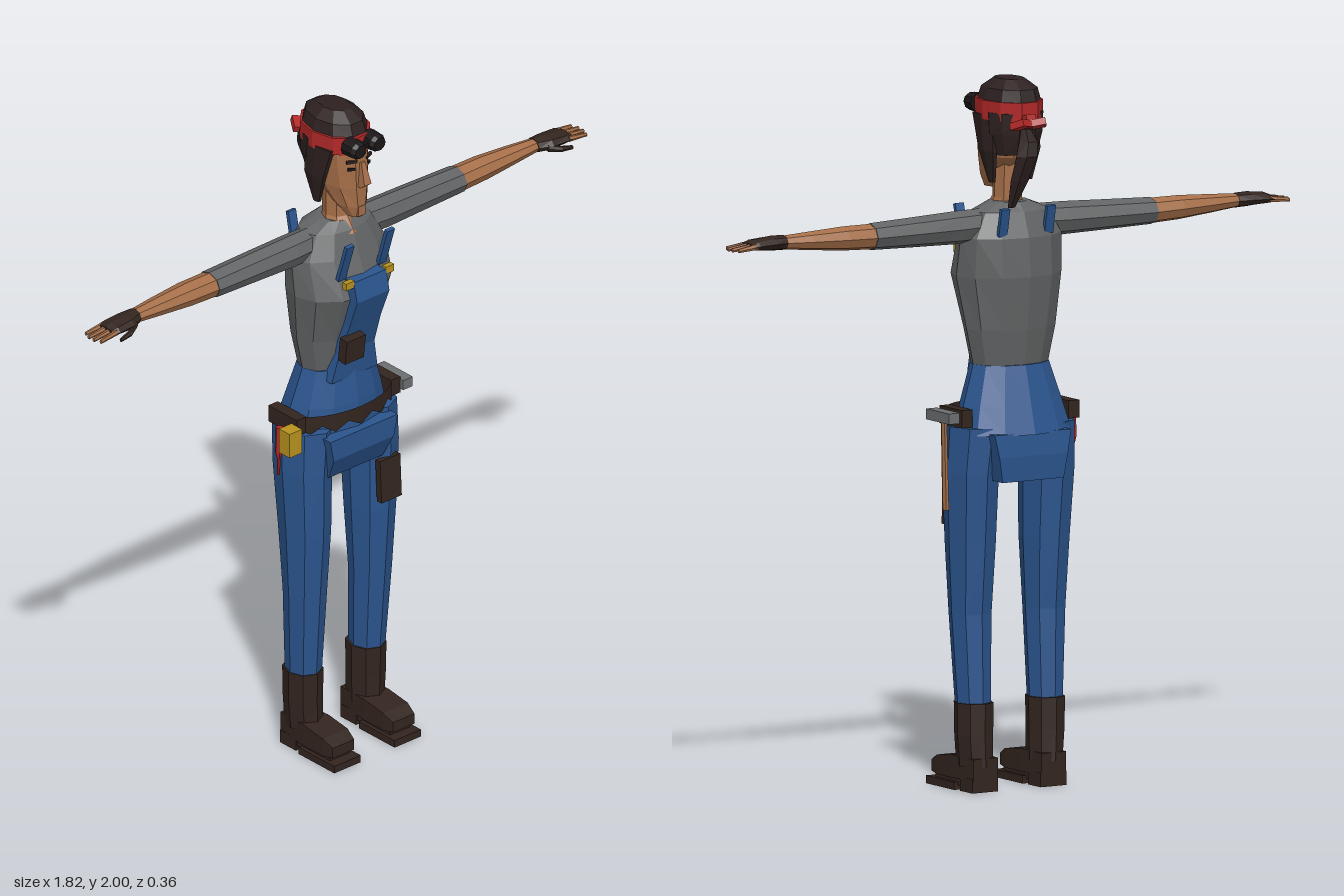
import * as THREE from 'three';

const mat = (name, color, extra = {}) =>
  Object.assign(new THREE.MeshStandardMaterial({ color, ...extra }), { name });

// Lofts n-sided rings [t, centreU, centreV, radiusU, radiusV] along an axis, closed and flat-faced.
// Axis y: u=x, v=z.  Axis x: u=z, v=y.  Axis z: u=x, v=y.
function loft(axis, rings, n = 8) {
  const k = n === 4 ? Math.SQRT2 : 1, off = n === 4 ? Math.PI / 4 : 0;
  const place = (t, u, v) => axis === 'y' ? [u, t, v] : axis === 'x' ? [t, v, u] : [u, v, t];
  const P = rings.map(([t, cu, cv, ru, rv]) => Array.from({ length: n }, (_, i) => {
    const a = off + (i / n) * Math.PI * 2;
    return place(t, cu + Math.cos(a) * ru * k, cv + Math.sin(a) * rv * k);
  }));
  let tris = [];
  for (let r = 0; r < P.length - 1; r++)
    for (let i = 0; i < n; i++) {
      const j = (i + 1) % n, a = P[r][i], b = P[r][j], c = P[r + 1][j], d = P[r + 1][i];
      tris.push([a, b, c], [a, c, d]);
    }
  const end = P[P.length - 1];
  for (let i = 1; i < n - 1; i++) tris.push([P[0][0], P[0][i + 1], P[0][i]], [end[0], end[i], end[i + 1]]);
  // Make all faces point outwards
  const vol = tris.reduce((s, [a, b, c]) => s + a[0] * (b[1] * c[2] - b[2] * c[1])
    + a[1] * (b[2] * c[0] - b[0] * c[2]) + a[2] * (b[0] * c[1] - b[1] * c[0]), 0);
  if (vol < 0) tris = tris.map(([a, b, c]) => [a, c, b]);
  const g = new THREE.BufferGeometry();
  g.setAttribute('position', new THREE.Float32BufferAttribute(tris.flat(2), 3));
  g.computeVertexNormals();
  return g;
}

export function createModel() {
  const model = new THREE.Group();
  model.name = 'mechanic';
  const denim = mat('denim', 0x2b558e), shirt = mat('shirt grey', 0x626465),
    leather = mat('dark leather', 0x33251f, { side: THREE.DoubleSide }), hair = mat('hair', 0x2d2120),
    skin = mat('skin', 0xa66f49), red = mat('red', 0xb32828), yellow = mat('yellow', 0xb8921f),
    steel = mat('steel', 0x6c6e70), wood = mat('wood', 0x9c6844), black = mat('goggle black', 0x1b1617);

  const add = (name, geo, m, pos = [0, 0, 0], rot = [0, 0, 0]) => {
    const mesh = new THREE.Mesh(geo, m);
    mesh.name = name;
    mesh.position.set(...pos);
    mesh.rotation.set(...rot);
    model.add(mesh);
    return mesh;
  };
  const box = (name, size, m, pos, rot) => add(name, new THREE.BoxGeometry(...size), m, pos, rot);

  // Torso and overalls
  add('shirtBody', loft('y', [[1.17, 0, 0, 0.112, 0.075], [1.3, 0, 0, 0.14, 0.095], [1.45, 0, 0.018, 0.163, 0.13],
    [1.56, 0, 0, 0.16, 0.104], [1.63, 0, 0, 0.118, 0.078], [1.655, 0, 0.005, 0.055, 0.055]], 12), shirt);
  add('hips', loft('y', [[1.01, 0, -0.018, 0.178, 0.12], [1.09, 0, -0.008, 0.155, 0.108],
    [1.2, 0, 0, 0.119, 0.086]], 12), denim);
  add('bib', loft('y', [[1.17, 0, 0.04, 0.085, 0.045], [1.26, 0, 0.05, 0.065, 0.045], [1.36, 0, 0.07, 0.058, 0.06],
    [1.45, 0, 0.08, 0.06, 0.084], [1.51, 0, 0.08, 0.06, 0.07]], 4), denim);
  add('seat', loft('y', [[1.015, 0, 0, 0.125, 0.125], [0.95, 0, -0.003, 0.112, 0.127],
    [0.88, 0, -0.018, 0.1, 0.108]], 4), denim);
  box('bibPouch', [0.07, 0.075, 0.03], leather, [-0.045, 1.29, 0.125], [0.12, 0, 0]);

  // Belt wrapped round the front with a jagged lower edge
  const belt = new THREE.CylinderGeometry(0.19, 0.19, 0.05, 16, 1, true, -1.85, 3.7);
  const bp = belt.attributes.position;
  for (let i = 0; i < bp.count; i++) {
    if (bp.getY(i) < 0) bp.setY(i, i % 2 ? -0.032 : -0.008);
    bp.setZ(i, bp.getZ(i) * 0.6);
  }
  const flatBelt = belt.toNonIndexed();
  flatBelt.computeVertexNormals();
  add('belt', flatBelt, leather, [0, 1.058, 0]);
  for (const s of [-1, 1]) box('beltHip', [0.035, 0.05, 0.12], leather, [s * 0.175, 1.058, 0]);

  // Head
  add('neck', loft('y', [[1.62, 0, 0.03, 0.06, 0.055], [1.665, 0, 0.012, 0.042, 0.043],
    [1.8, 0, 0.01, 0.04, 0.045]]), skin);
  add('face', loft('y', [[1.685, 0, 0.085, 0.024, 0.028], [1.72, 0, 0.065, 0.045, 0.053], [1.78, 0, 0.03, 0.064, 0.09],
    [1.84, 0, 0.02, 0.07, 0.1], [1.92, 0, 0.01, 0.074, 0.108]], 10), skin);
  add('nose', loft('y', [[1.785, 0, 0.115, 0.014, 0.012], [1.797, 0, 0.124, 0.013, 0.018],
    [1.86, 0, 0.112, 0.007, 0.01]], 4), skin);
  box('mouth', [0.034, 0.008, 0.008], hair, [0, 1.752, 0.106]);
  box('chin', [0.026, 0.03, 0.02], skin, [0, 1.705, 0.107]);
  add('hairCap', loft('y', [[1.88, 0, 0, 0.079, 0.108], [1.94, 0, 0.002, 0.08, 0.11], [1.975, 0, 0, 0.07, 0.098],
    [2.0, 0, 0, 0.038, 0.055]], 10), hair);
  add('backHair', loft('y', [[1.91, 0, -0.02, 0.082, 0.09], [1.85, 0, -0.026, 0.081, 0.072],
    [1.79, 0, -0.035, 0.065, 0.042]], 10), hair);
  add('headband', loft('y', [[1.888, 0, 0.003, 0.085, 0.116], [1.942, 0, 0.003, 0.086, 0.118]], 10), red);
  add('ponytail', loft('y', [[1.87, 0.015, -0.11, 0.015, 0.016], [1.84, 0.025, -0.14, 0.03, 0.03],
    [1.8, 0.035, -0.15, 0.035, 0.031], [1.73, 0.045, -0.128, 0.03, 0.024], [1.65, 0.055, -0.1, 0.012, 0.009]], 6), hair);
  box('bandKnot', [0.03, 0.035, 0.04], red, [0.01, 1.89, -0.115], [0.3, 0, 0]);
  for (const s of [-1, 1]) {
    box('bandTail', [0.04, 0.02, 0.045], red, [0.015 + s * 0.03, 1.885, -0.13], [0.4, s * 0.5, 0]);
    add('sideLock', loft('y', [[1.9, s * 0.07, 0.02, 0.014, 0.06], [1.8, s * 0.071, 0.0, 0.013, 0.045],
      [1.71, s * 0.06, -0.005, 0.008, 0.014]], 6), hair);
    box('brow', [0.032, 0.008, 0.008], hair, [s * 0.031, 1.867, 0.108], [0, s * 0.4, 0]);
    box('eye', [0.022, 0.008, 0.006], black, [s * 0.031, 1.843, 0.107], [0, s * 0.45, 0]);
    add('goggle', loft('z', [[0.1, s * 0.035, 1.918, 0.03, 0.028], [0.14, s * 0.035, 1.918, 0.028, 0.026],
      [0.152, s * 0.035, 1.918, 0.021, 0.02]], 10), black);
  }
  box('goggleBridge', [0.03, 0.012, 0.02], black, [0, 1.918, 0.125]);

  for (const s of [-1, 1]) {
    // Straps and buckles
    box('frontStrap', [0.028, 0.125, 0.012], denim, [s * 0.075, 1.572, 0.13], [0.3, 0, 0]);
    box('backStrap', [0.028, 0.08, 0.012], denim, [s * 0.075, 1.607, -0.09], [-0.2, 0, 0]);
    box('buckle', [0.03, 0.022, 0.016], yellow, [s * 0.074, 1.506, 0.143]);

    // Arm, glove and fingers
    add('sleeve', loft('x', [[s * 0.1, 0, 1.592, 0.045, 0.046], [s * 0.17, 0, 1.59, 0.048, 0.047],
      [s * 0.3, -0.003, 1.589, 0.047, 0.043], [s * 0.46, -0.005, 1.588, 0.045, 0.038]]), shirt);
    add('forearm', loft('x', [[s * 0.455, -0.005, 1.588, 0.042, 0.036], [s * 0.55, -0.005, 1.59, 0.041, 0.034],
      [s * 0.66, -0.003, 1.592, 0.032, 0.026], [s * 0.76, 0, 1.594, 0.022, 0.018]]), skin);
    add('glove', loft('x', [[s * 0.74, 0, 1.594, 0.026, 0.021], [s * 0.78, 0.006, 1.594, 0.037, 0.021],
      [s * 0.835, 0.006, 1.593, 0.04, 0.016], [s * 0.855, 0.006, 1.59, 0.036, 0.011]]), leather);
    for (let f = 0; f < 4; f++) {
      const z = -0.022 + f * 0.019, tip = 0.915 - Math.abs(f - 1.5) * 0.008;
      add('finger', loft('x', [[s * 0.84, z, 1.592, 0.008, 0.009],
        [s * tip, z * 1.1, 1.585, 0.005, 0.006]], 6), skin);
    }
    add('thumb', loft('x', [[s * 0.765, 0.03, 1.588, 0.01, 0.011], [s * 0.8, 0.048, 1.58, 0.009, 0.009],
      [s * 0.84, 0.052, 1.573, 0.005, 0.006]], 6), leather);

    // Trouser leg and boot
    add('trouserLeg', loft('y', [[1.03, s * 0.115, 0, 0.08, 0.098], [0.9, s * 0.124, 0.006, 0.075, 0.092],
      [0.7, s * 0.121, 0.012, 0.069, 0.08], [0.5, s * 0.121, 0.013, 0.06, 0.064],
      [0.24, s * 0.118, 0.003, 0.049, 0.055]]), denim);
    add('bootShaft', loft('y', [[0.25, s * 0.117, 0, 0.054, 0.062], [0.16, s * 0.117, 0, 0.053, 0.06],
      [0.07, s * 0.114, 0, 0.048, 0.06]]), leather);
    add('bootFoot', loft('z', [[-0.055, s * 0.112, 0.065, 0.04, 0.03], [0.05, s * 0.112, 0.065, 0.046, 0.033],
      [0.13, s * 0.112, 0.06, 0.046, 0.027], [0.165, s * 0.112, 0.053, 0.04, 0.016]], 4), leather);
    box('sole', [0.098, 0.022, 0.15], leather, [s * 0.112, 0.011, 0.107]);
    box('soleCore', [0.075, 0.03, 0.17], leather, [s * 0.112, 0.028, 0.065]);
    box('heel', [0.085, 0.04, 0.066], leather, [s * 0.112, 0.02, -0.02]);
  }
  box('legPocket', [0.075, 0.13, 0.02], leather, [0.117, 0.805, 0.096], [-0.05, 0, 0]);

  // Tools on the belt
  box('tapeMeasure', [0.046, 0.075, 0.045], yellow, [-0.216, 1.028, 0.06]);
  add('screwdriver', loft('y', [[1.05, -0.213, 0.01, 0.011, 0.011], [0.97, -0.215, 0.01, 0.011, 0.011],
    [0.95, -0.215, 0.01, 0.005, 0.005], [0.9, -0.216, 0.01, 0.004, 0.004]], 6), red);
  box('hammerHead', [0.036, 0.03, 0.12], steel, [0.21, 1.06, 0.012]);
  add('hammerHandle', loft('y', [[1.06, 0.21, 0.008, 0.008, 0.011], [0.8, 0.219, -0.016, 0.009, 0.012]], 6), wood);
  return model;
}
